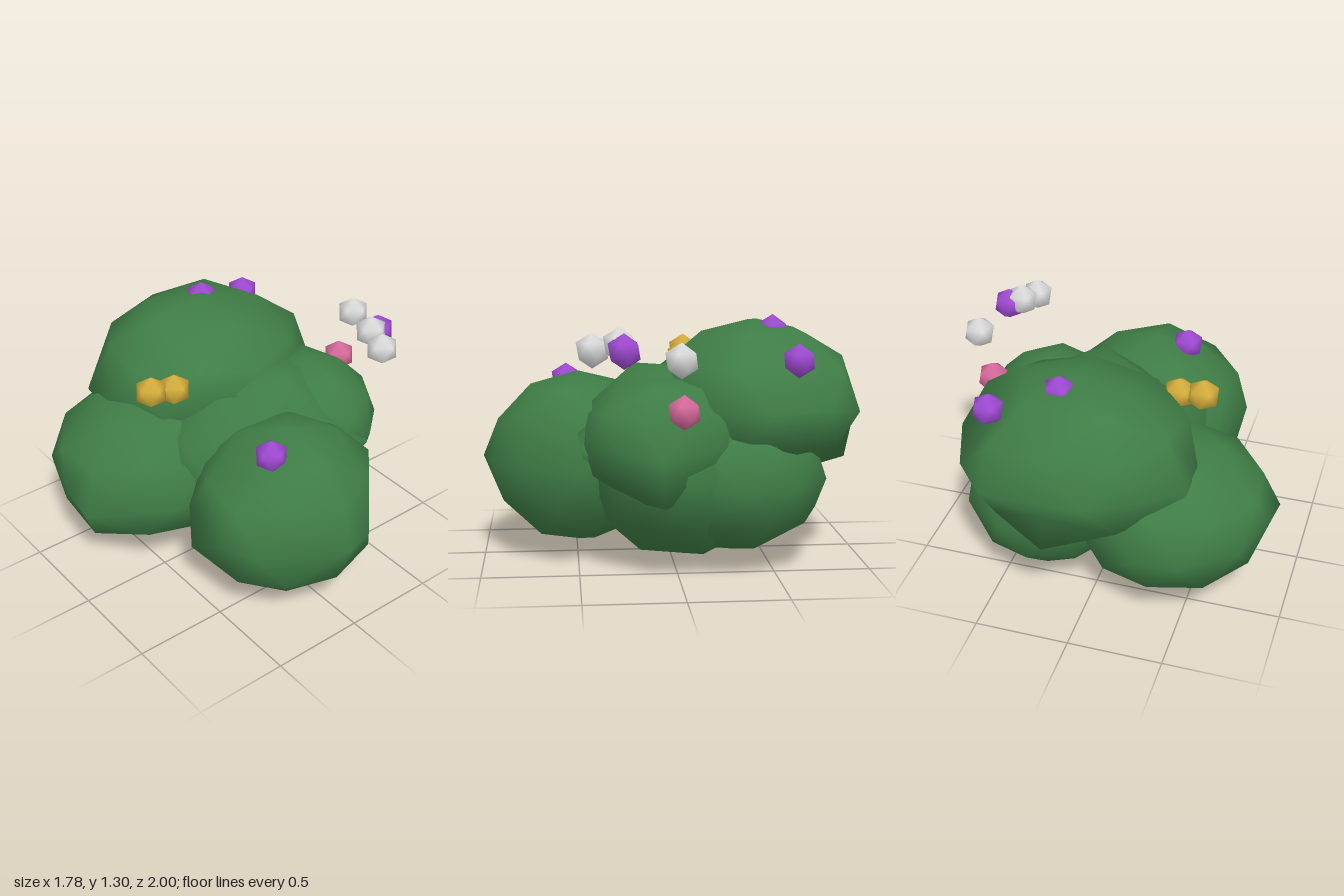
import * as THREE from 'three';
import { mergeVertices } from 'three/addons/utils/BufferGeometryUtils.js';

const material = (name, color) => {
  const m = new THREE.MeshStandardMaterial({ color });
  m.name = name;
  return m;
};

// Icosphere with a vertex at the top and shared corners
function icosphere(detail) {
  const g = new THREE.IcosahedronGeometry(1, detail);
  g.rotateX(-Math.atan((1 + Math.sqrt(5)) / 2));
  g.deleteAttribute('normal');
  g.deleteAttribute('uv');
  return mergeVertices(g, 1e-4);
}

// Ellipsoid clump; the corner nearest to each peak is moved onto it
function clumpGeometry(center, radii, peaks) {
  const g = icosphere(1).scale(...radii).translate(...center);
  const pos = g.attributes.position;
  const corner = new THREE.Vector3();
  for (const peak of peaks) {
    const target = new THREE.Vector3(...peak);
    let nearest = 0, shortest = Infinity;
    for (let i = 0; i < pos.count; i++) {
      const d = corner.fromBufferAttribute(pos, i).distanceTo(target);
      if (d < shortest) { shortest = d; nearest = i; }
    }
    pos.setXYZ(nearest, ...peak);
  }
  g.computeVertexNormals();
  return g;
}

export function createModel() {
  const model = new THREE.Group();
  model.name = 'floweringBush';
  const leaf = material('leaf green', 0x3f7d46);

  const addClump = (name, center, radii, ...peaks) => {
    const mesh = new THREE.Mesh(clumpGeometry(center, radii, peaks), leaf);
    mesh.name = name;
    model.add(mesh);
  };

  // Overlapping leaf clumps: centre, radii, then a few peaks
  addClump('frontClump', [-0.05, 0.52, 0.49], [0.52, 0.465, 0.48],
    [-0.05, 0.53, 1], [-0.53, 0.33, 0.3], [-0.56, 0.53, 0.59], [0.23, 0.5, 0.8],
    [-0.27, 0.86, 0.64]);
  addClump('backClump', [0.11, 0.85, -0.45], [0.63, 0.42, 0.55],
    [0.1, 0.8, -1], [-0.04, 0.95, 0.13], [-0.19, 1.24, -0.45], [0.47, 1.04, -0.6],
    [-0.52, 0.82, -0.65], [0.46, 0.82, -0.94], [0.15, 0.53, -0.93]);
  addClump('leftBackClump', [-0.36, 0.49, -0.33], [0.53, 0.41, 0.53],
    [-0.9, 0.44, -0.12], [-0.83, 0.67, -0.45], [-0.78, 0.19, -0.25], [-0.3, 0.5, -0.88],
    [-0.13, 0.09, -0.5]);
  addClump('middleClump', [0.15, 0.52, -0.05], [0.61, 0.51, 0.54],
    [0.11, 0, -0.08], [-0.42, 0.8, 0.15], [0.27, 0.78, 0.52], [0.52, 0.65, 0.48],
    [0.17, 1.05, 0.2]);
  addClump('rightClump', [0.44, 0.68, 0.07], [0.35, 0.33, 0.42],
    [0.8, 0.63, 0.1], [0.78, 0.4, 0.08]);
  addClump('rightBackClump', [0.3, 0.47, -0.31], [0.46, 0.4, 0.49],
    [0.25, 0.14, -0.58]);

  // Small round blossoms
  const blossom = icosphere(0).scale(0.088, 0.088, 0.088);
  blossom.computeVertexNormals();
  const addBlossoms = (name, mat, ...spots) => {
    for (const spot of spots) {
      const mesh = new THREE.Mesh(blossom, mat);
      mesh.name = name;
      mesh.position.set(...spot);
      model.add(mesh);
    }
  };
  addBlossoms('purpleBlossom', material('blossom purple', 0xa24bd6),
    [0.17, 1.21, -0.53], [0.52, 1.09, -0.61], [-0.21, 0.92, 0.55], [0.74, 1.17, 0.28]);
  addBlossoms('whiteBlossom', material('blossom white', 0xdedede),
    [0.81, 1.13, 0.01], [0.67, 1.195, 0.3], [0.63, 1.165, 0.43]);
  addBlossoms('yellowBlossom', material('blossom yellow', 0xd8b03c),
    [-0.46, 1.05, -0.12], [-0.33, 1.025, -0.1]);
  addBlossoms('pinkBlossom', material('blossom pink', 0xdb6b9e), [0.74, 0.87, -0.01]);

  return model;
}
